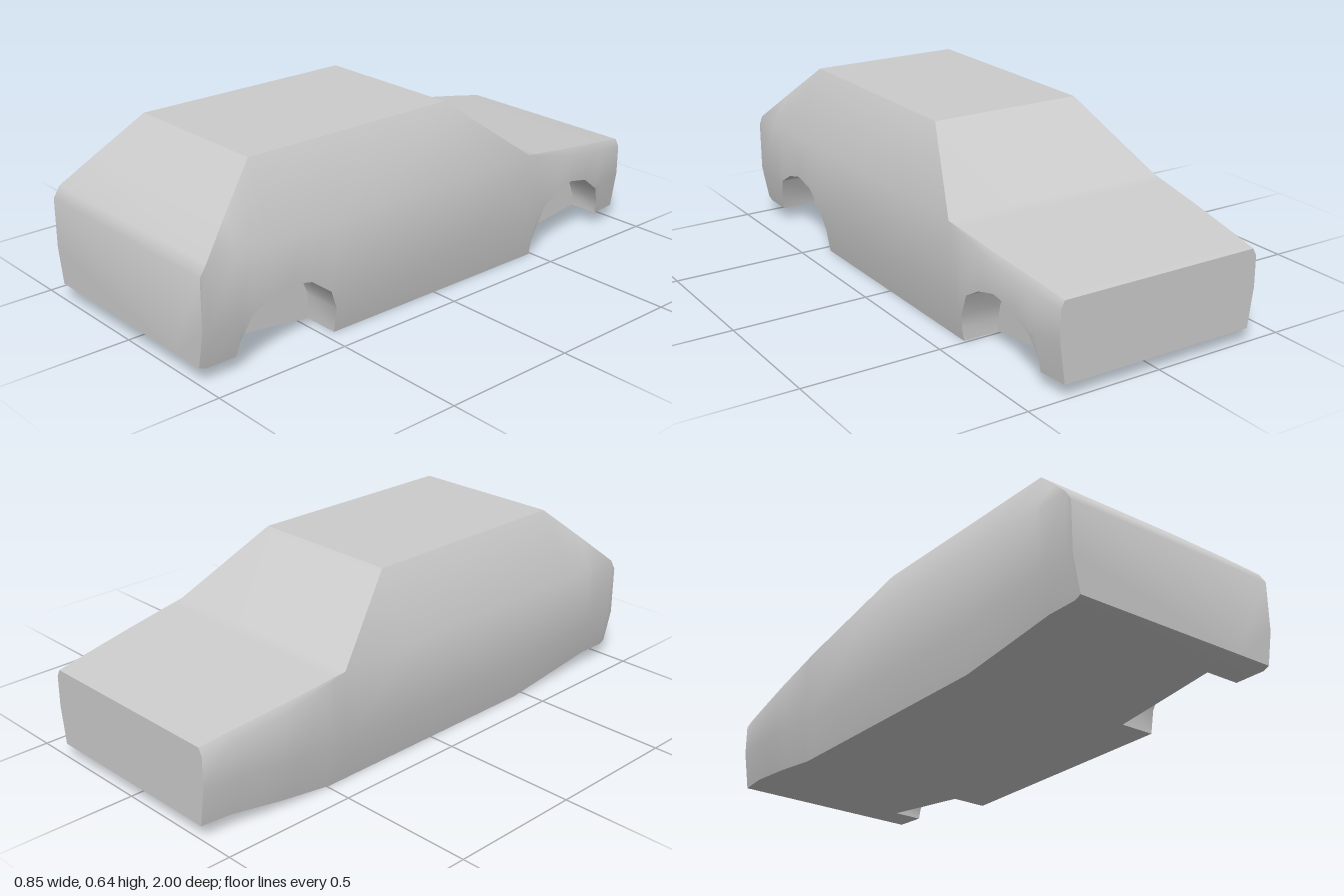
import * as THREE from 'three';
import { toCreasedNormals } from 'three/addons/utils/BufferGeometryUtils.js';

// Key cross-sections along the body:
// z, floor y, floor x, sill y, sill x, belt y, belt x, top y, top x
const KEYS = [
  [1, 0.06, 0.4, 0.19, 0.425, 0.37, 0.425, 0.37, 0.425],
  [0.975, 0.05, 0.4, 0.185, 0.425, 0.41, 0.425, 0.41, 0.425],
  [0.86, 0.05, 0.4, 0.18, 0.425, 0.41, 0.425, 0.514, 0.365],
  [0.71, 0.031, 0.4, 0.17, 0.425, 0.41, 0.425, 0.645, 0.29],
  [0.46, 0, 0.4, 0.15, 0.425, 0.41, 0.425, 0.645, 0.29],
  [-0.14, 0, 0.4, 0.15, 0.425, 0.41, 0.425, 0.645, 0.29],
  [-0.44, 0, 0.4, 0.15, 0.425, 0.41, 0.425, 0.41, 0.425],
  [-0.49, 0, 0.4, 0.15, 0.425, 0.395, 0.424, 0.403, 0.421],
  [-0.69, 0.025, 0.395, 0.17, 0.42, 0.345, 0.42, 0.374, 0.405],
  [-0.89, 0.05, 0.378, 0.185, 0.4, 0.315, 0.4, 0.345, 0.384],
  [-1, 0.05, 0.367, 0.19, 0.387, 0.3, 0.387, 0.327, 0.373],
];

// Wheel arch outline: z offset from its centre, height
const ARCH = [
  [0.2, 0.05], [0.19, 0.1], [0.15, 0.185], [0.08, 0.225], [0.05, 0.233],
  [0, 0.245], [-0.09, 0.225], [-0.17, 0.165], [-0.2, 0.09],
];
const ARCH_CENTRES = [0.66, -0.69];
const ARCH_WALL = 0.265;
const lerp = THREE.MathUtils.lerp;

function keyAt(z) {
  let i = 0;
  while (i < KEYS.length - 2 && z < KEYS[i + 1][0]) i++;
  const a = KEYS[i], b = KEYS[i + 1];
  const t = (a[0] - z) / (a[0] - b[0]);
  return a.map((v, k) => lerp(v, b[k], t));
}

// Closed outline of one slice; archY lifts the left lower edge over a wheel
function section(z, archY = 0) {
  const [, yb, xb, ys, xs, yt, xt, yr, xr] = keyAt(z);
  const y = Math.max(yb, archY);
  const x = y < ys ? lerp(xb, xs, (y - yb) / (ys - yb)) : xs;
  return [
    [ARCH_WALL, yb], [ARCH_WALL, y], [x, y], [xs, Math.max(ys, y)], [xt, yt], [xr, yr],
    [-xr, yr], [-xt, yt], [-xs, ys], [-xb, yb],
  ].map(([px, py]) => new THREE.Vector3(px, py, z));
}

function bodyGeometry() {
  // Slices front to back, doubled where an arch begins and ends
  const slices = [];
  for (const [z] of KEYS) {
    if (ARCH_CENTRES.every((c) => Math.abs(z - c) > 0.199)) slices.push({ z, pts: section(z) });
  }
  for (const c of ARCH_CENTRES) {
    slices.push({ z: c + 0.2, pts: section(c + 0.2) });
    for (const [dz, y] of ARCH) slices.push({ z: c + dz, pts: section(c + dz, y) });
    slices.push({ z: c - 0.2, pts: section(c - 0.2) });
  }
  // Keep the plain slice order stable around the doubled ones
  const rank = (s) => Math.round(s.z * 1000);
  const seen = slices.filter((s, i) => i >= slices.length - 2 * (ARCH.length + 2)
    || ARCH_CENTRES.every((c) => Math.abs(Math.abs(s.z - c) - 0.2) > 0.002));
  seen.sort((a, b) => rank(b) - rank(a));

  const pos = [];
  const cross = new THREE.Vector3(), edge = new THREE.Vector3();
  const tri = (a, b, c) => {
    cross.subVectors(b, a).cross(edge.subVectors(c, a));
    if (cross.length() > 1e-7) for (const p of [a, b, c]) pos.push(p.x, p.y, p.z);
  };

  // Skin between neighbouring slices
  for (let i = 0; i < seen.length - 1; i++) {
    const p = seen[i].pts, q = seen[i + 1].pts, n = p.length;
    for (let j = 0; j < n; j++) {
      const k = (j + 1) % n;
      tri(p[j], q[j], q[k]);
      tri(p[j], q[k], p[k]);
    }
  }

  // Flat end faces
  const first = seen[0].pts, last = seen[seen.length - 1].pts;
  for (let j = 1; j < first.length - 1; j++) {
    tri(first[0], first[j], first[j + 1]);
    tri(last[0], last[j + 1], last[j]);
  }

  const geo = new THREE.BufferGeometry();
  geo.setAttribute('position', new THREE.Float32BufferAttribute(pos, 3));
  return toCreasedNormals(geo, THREE.MathUtils.degToRad(35));
}

export function createModel() {
  const group = new THREE.Group();
  group.name = 'car';
  const body = new THREE.Mesh(bodyGeometry(), new THREE.MeshStandardMaterial({ color: 0xcccccc }));
  body.name = 'carBody';
  group.add(body);
  return group;
}
